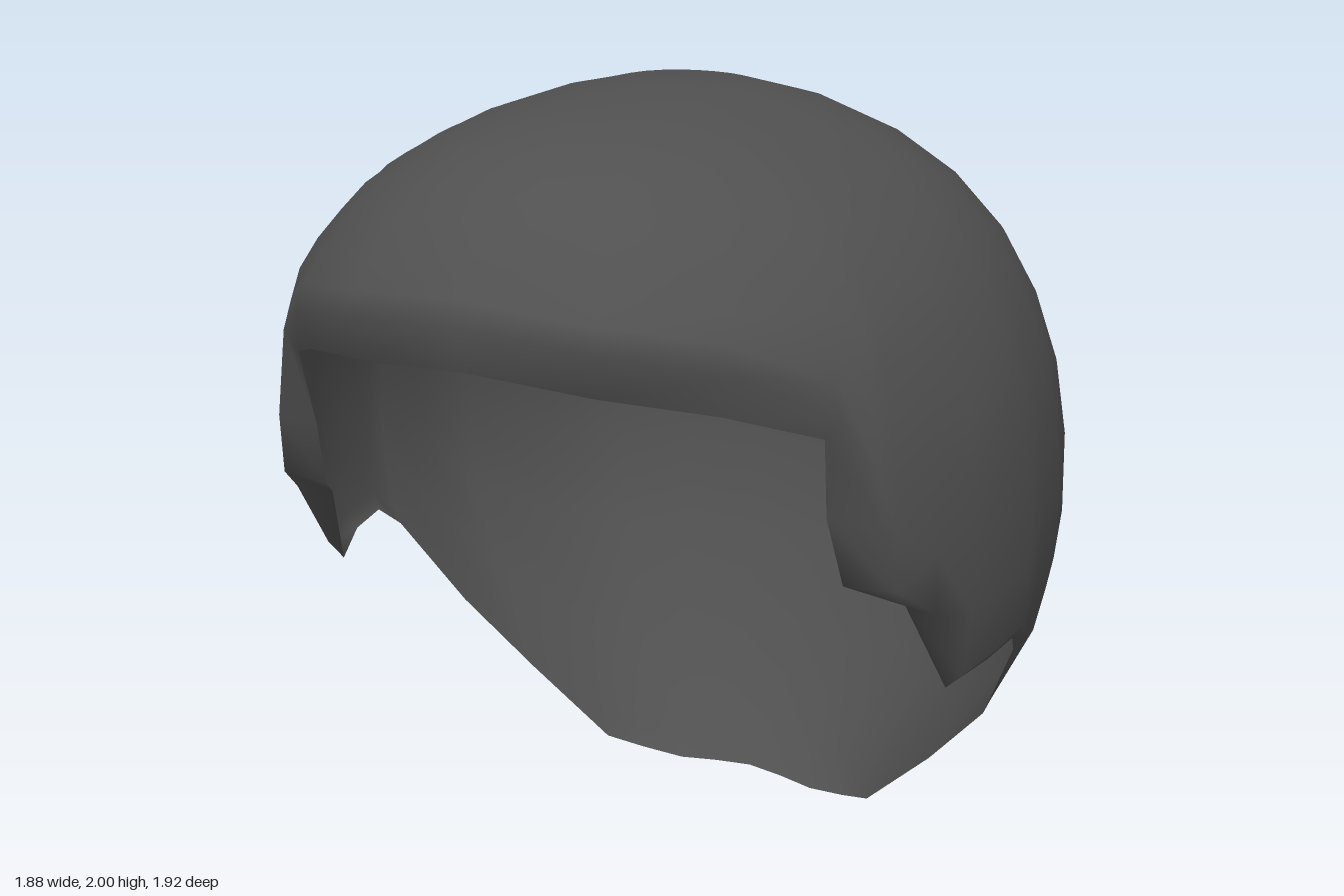
import * as THREE from 'three';

// Horizontal sections of the cap: [y, half width, depth in front, depth behind]
const SECTIONS = [
  [2.0, 0, 0, 0], [1.98, 0.2, 0.4, 0.22], [1.92, 0.41, 0.63, 0.4], [1.79, 0.64, 0.83, 0.62],
  [1.61, 0.8, 0.97, 0.79], [1.4, 0.89, 0.97, 0.9], [1.2, 0.93, 0.95, 0.95], [1.0, 0.94, 0.93, 0.97],
  [0.8, 0.93, 0.85, 0.94], [0.7, 0.9, 0.75, 0.92], [0.59, 0.86, 0.7, 0.88], [0.39, 0.74, 0.6, 0.77],
  [0.21, 0.61, 0.5, 0.66], [0.05, 0.48, 0.4, 0.56], [0, 0.44, 0.36, 0.53],
];

// Strands from the middle of the fringe round to the nape:
// [angle from front, y where the outer surface ends, rim x, y, z]
const STRANDS = [
  [0, 1.63, 0, 1.53, 0.94],
  [19, 1.6, 0.28, 1.49, 0.86],
  [36, 1.55, 0.52, 1.46, 0.76],
  [50, 1.44, 0.68, 1.39, 0.6],
  [55.5, 1.2, 0.67, 1.2, 0.56],
  [58, 1.04, 0.69, 1.03, 0.51],
  [65, 0.96, 0.78, 0.95, 0.37],
  [73, 0.76, 0.84, 0.72, 0.26],
  [82, 0.79, 0.89, 0.75, 0.13],
  [90, 0.8, 0.905, 0.76, 0.01],
  [94, 0.74, 0.885, 0.7, -0.06],
  [104, 0.49, 0.77, 0.45, -0.19],
  [114, 0.29, 0.6, 0.25, -0.27],
  [130, 0.09, 0.4, 0.05, -0.34],
  [142, 0.06, 0.31, 0.02, -0.38],
  [154, 0.05, 0.2, 0, -0.41],
  [167, 0.05, 0.1, 0.005, -0.43],
  [180, 0.05, 0, 0.01, -0.44],
];
const ROWS = 12;

// Point on the rounded outer surface at a given angle and height
function surfacePoint(angle, y) {
  const polar = (h) => Math.acos(THREE.MathUtils.clamp(h - 1, -1, 1));
  let i = 0;
  while (i < SECTIONS.length - 2 && y < SECTIONS[i + 1][0]) i++;
  const p = SECTIONS[i], q = SECTIONS[i + 1];
  const t = (polar(y) - polar(p[0])) / (polar(q[0]) - polar(p[0]));
  const mix = (k) => THREE.MathUtils.lerp(p[k], q[k], t);
  const s = Math.sin(angle), c = Math.cos(angle), n = 2.2;
  const sum = (Math.abs(s) / mix(1)) ** n + (Math.abs(c) / mix(c > 0 ? 2 : 3)) ** n;
  const r = sum ** (-1 / n);
  return [r * s, y, r * c];
}

function hairGeometry() {
  // Mirror the strands to close the ring
  const mirrored = STRANDS.slice(1, -1).reverse().map(([a, yo, x, y, z]) => [360 - a, yo, -x, y, z]);
  const ring = [...STRANDS, ...mirrored];
  const positions = [0, 2, 0.03];
  const index = [];
  const at = (column, row) => 1 + (column % ring.length) * (ROWS + 1) + row;

  ring.forEach(([deg, yEnd, x, y, z], c) => {
    // Crown down to the outer edge, then the turned-in rim
    for (let j = 1; j <= ROWS; j++) {
      const drop = 1 - Math.cos((j / ROWS) * Math.PI / 2);
      positions.push(...surfacePoint(THREE.MathUtils.degToRad(deg), 2 - (2 - yEnd) * drop));
    }
    positions.push(x, y, z);

    index.push(0, at(c, 0), at(c + 1, 0));
    for (let j = 0; j < ROWS; j++) {
      index.push(at(c, j), at(c, j + 1), at(c + 1, j));
      index.push(at(c + 1, j), at(c, j + 1), at(c + 1, j + 1));
    }
  });

  const geometry = new THREE.BufferGeometry();
  geometry.setAttribute('position', new THREE.Float32BufferAttribute(positions, 3));
  geometry.setIndex(index);
  geometry.computeVertexNormals();
  return geometry;
}

export function createModel() {
  const group = new THREE.Group();
  group.name = 'hairCap';
  const material = new THREE.MeshStandardMaterial({ color: 0x505050, side: THREE.DoubleSide });
  const hair = new THREE.Mesh(hairGeometry(), material);
  hair.name = 'hairShell';
  group.add(hair);
  return group;
}
